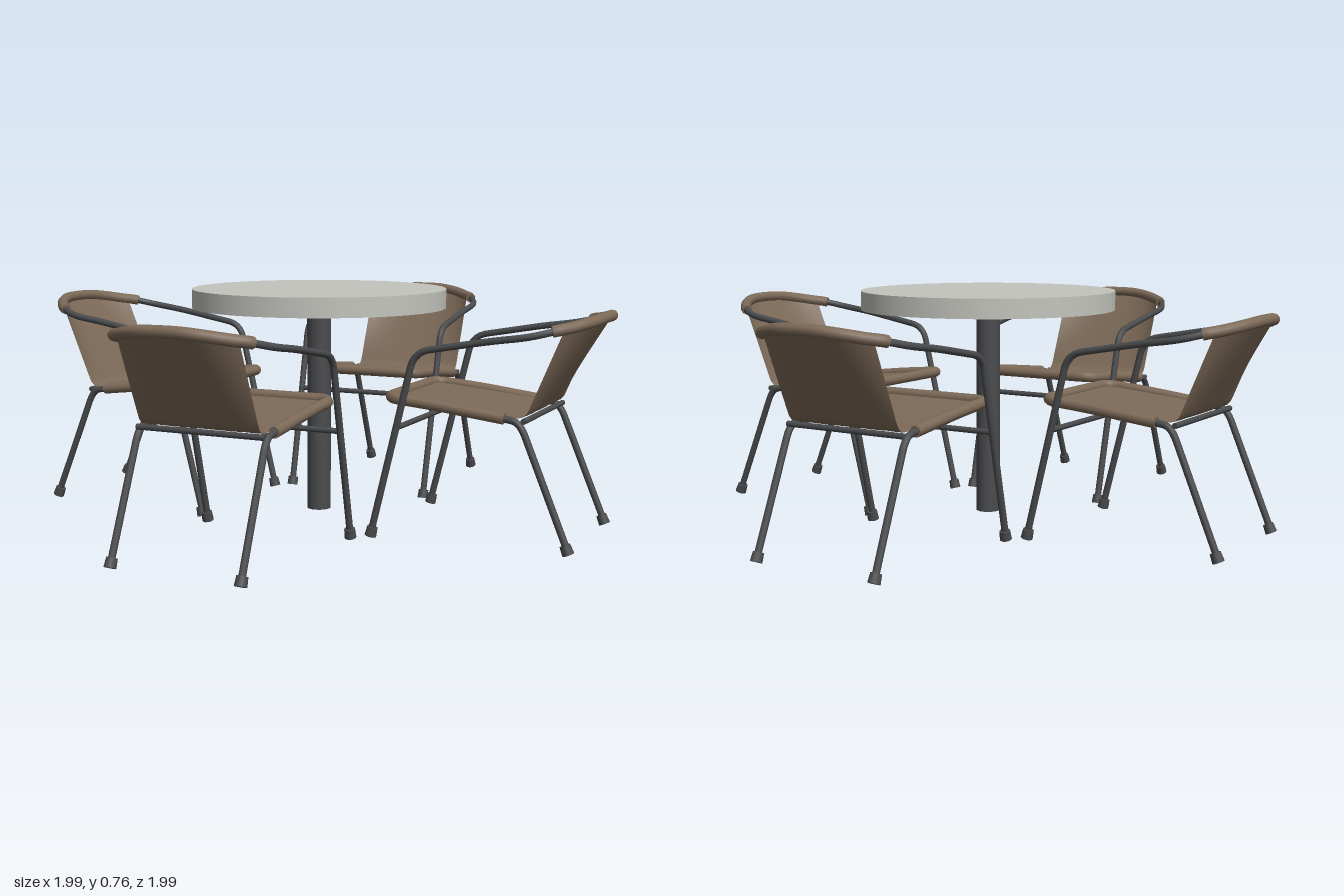
import * as THREE from 'three';
import { mergeGeometries } from 'three/addons/utils/BufferGeometryUtils.js';
import { ParametricGeometry } from 'three/addons/geometries/ParametricGeometry.js';

const stone = new THREE.MeshStandardMaterial({ color: 0xc3c4bd });
stone.name = 'pale stone';
const metal = new THREE.MeshStandardMaterial({ color: 0x4a4b4d });
metal.name = 'dark metal';
const wicker = new THREE.MeshStandardMaterial({ color: 0x7d6a58 });
wicker.name = 'brown wicker';
const weave = new THREE.MeshStandardMaterial({ color: 0x7d6a58, side: THREE.DoubleSide });
weave.name = 'brown wicker sheet';

const v = (x, y, z) => new THREE.Vector3(x, y, z);
const mirrored = (pts) => [...pts].reverse().map((p) => v(-p.x, p.y, p.z));

function add(parent, name, geometry, material) {
  const mesh = new THREE.Mesh(geometry, material);
  mesh.name = name;
  parent.add(mesh);
  return mesh;
}

// Polyline whose corners are rounded by quadratic curves
function rounded(pts, r) {
  const path = new THREE.CurvePath();
  let last = pts[0];
  for (let i = 1; i < pts.length - 1; i++) {
    const p = pts[i];
    const toward = (q) => {
      const d = p.distanceTo(q);
      return p.clone().lerp(q, Math.min(r, d * 0.49) / d);
    };
    const a = toward(pts[i - 1]);
    const b = toward(pts[i + 1]);
    path.add(new THREE.LineCurve3(last, a));
    path.add(new THREE.QuadraticBezierCurve3(a, p, b));
    last = b;
  }
  path.add(new THREE.LineCurve3(last, pts[pts.length - 1]));
  return path;
}

// Tube with closed ends
function tube(path, radius, segments) {
  const parts = [new THREE.TubeGeometry(path, segments, radius, 10, false)];
  for (const t of [0, 1]) {
    const outward = path.getTangentAt(t).multiplyScalar(t ? 1 : -1);
    const cap = new THREE.CircleGeometry(radius, 10);
    cap.applyQuaternion(new THREE.Quaternion().setFromUnitVectors(v(0, 0, 1), outward));
    const p = path.getPointAt(t);
    parts.push(cap.translate(p.x, p.y, p.z));
  }
  return mergeGeometries(parts);
}

// Height and depth of the curved top rail at a given x
function topRail(x) {
  const k = Math.abs(x) / 0.21;
  return v(x, 0.709 - 0.029 * k ** 2, 0.981 - 0.09 * k ** 2.6);
}

// One chair, its back toward +z
function createChair() {
  const chair = new THREE.Group();

  // Front legs, arms and top rail: one bent tube
  const railPts = [0.19, 0.15, 0.1, 0.05].map(topRail);
  const railLoop = [...railPts, ...mirrored(railPts)];
  const armPts = [
    v(0.26, 0.025, 0.311), v(0.265, 0.6, 0.452), v(0.265, 0.645, 0.7),
    v(0.264, 0.66, 0.81), v(0.228, 0.678, 0.88),
  ];
  add(chair, 'armFrame', tube(rounded([...armPts, ...railLoop, ...mirrored(armPts)], 0.05), 0.011, 160), metal);
  const wrapEnd = [v(0.226, 0.677, 0.872), v(0.218, 0.681, 0.888)];
  add(chair, 'topRailWrap', tube(rounded([...wrapEnd, ...railLoop, ...mirrored(wrapEnd)], 0.05), 0.018, 64), wicker);

  // Rear legs and seat rail: one bent tube
  const seatPts = [v(0.211, 0.405, 0.725), v(0.211, 0.432, 0.5), v(0.211, 0.446, 0.34)];
  const legPts = [v(0.216, 0.025, 0.93), v(0.213, 0.397, 0.775)];
  add(chair, 'seatFrame', tube(rounded([...legPts, ...seatPts, ...mirrored(seatPts), ...mirrored(legPts)], 0.045), 0.011, 160), metal);
  add(chair, 'seatRailWrap', tube(rounded([...seatPts, ...mirrored(seatPts)], 0.05), 0.018, 90), wicker);

  // Woven seat and back in one sheet, bent at the crease
  const sheet = new ParametricGeometry((s, t, target) => {
    const x = (s - 0.5) * 0.4;
    const side = rounded([
      v(x, 0.446, 0.335), v(x, 0.432, 0.5), v(x, 0.404, 0.785), topRail(x),
    ], 0.03);
    target.copy(side.getPoint(t));
  }, 16, 40);
  add(chair, 'wovenSeatAndBack', sheet, weave);

  // Crossbars under the seat
  for (const [name, half, y, z] of [['frontCrossbar', 0.26, 0.36, 0.393], ['rearCrossbar', 0.213, 0.4, 0.785]]) {
    const bar = add(chair, name, new THREE.CylinderGeometry(0.009, 0.009, half * 2, 10), metal);
    bar.rotation.z = Math.PI / 2;
    bar.position.set(0, y, z);
  }

  // Feet, tilted along their legs
  for (const [name, pts] of [['frontFoot', armPts], ['rearFoot', legPts]]) {
    for (const side of [-1, 1]) {
      const foot = add(chair, name, new THREE.CylinderGeometry(0.017, 0.019, 0.03, 12), metal);
      const dir = pts[1].clone().sub(pts[0]).normalize();
      dir.x *= side;
      foot.quaternion.setFromUnitVectors(v(0, 1, 0), dir);
      foot.position.set(pts[0].x * side, 0.022, pts[0].z);
    }
  }
  return chair;
}

export function createModel() {
  const model = new THREE.Group();

  // Round table
  const table = new THREE.Group();
  table.name = 'table';
  add(table, 'tableTop', new THREE.CylinderGeometry(0.425, 0.425, 0.063, 64), stone).position.y = 0.733;
  add(table, 'tablePole', new THREE.CylinderGeometry(0.04, 0.04, 0.69, 24), metal).position.y = 0.357;
  model.add(table);

  // Four chairs around it
  for (let i = 0; i < 4; i++) {
    const chair = createChair();
    chair.name = 'chair';
    chair.rotation.y = (i * Math.PI) / 2;
    model.add(chair);
  }
  return model;
}
